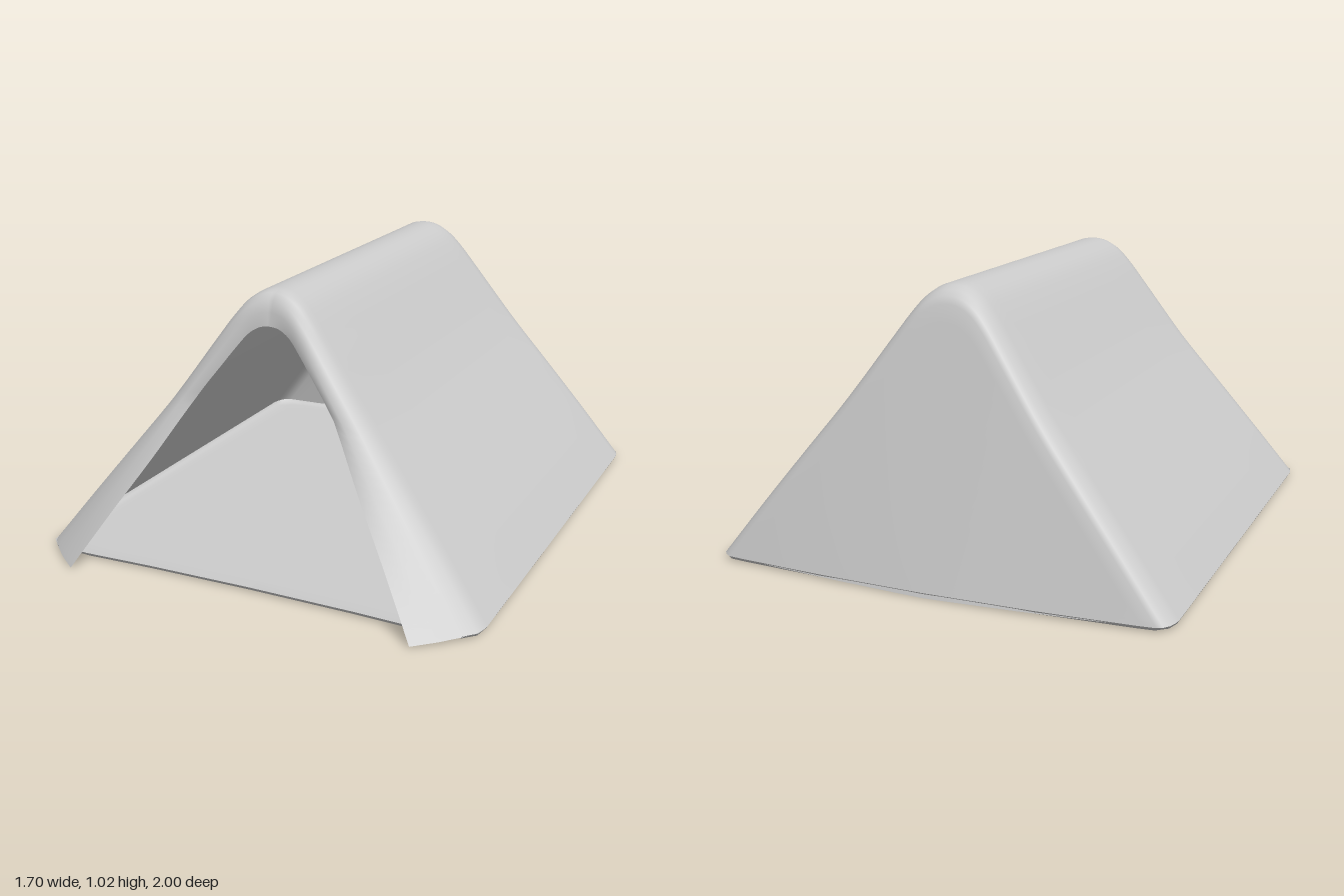
import * as THREE from 'three';

const material = new THREE.MeshStandardMaterial({ color: 0xcccccc, side: THREE.DoubleSide });
const lerp = THREE.MathUtils.lerp;

// Skin a list of rings (arrays of [x, y, z]) with smooth normals.
function loft(name, rings) {
  const n = rings[0].length;
  const index = [];
  for (let i = 0; i < rings.length - 1; i++) {
    for (let j = 0; j < n - 1; j++) {
      const a = i * n + j, b = a + 1, c = a + n, d = c + 1;
      index.push(a, c, b, b, c, d);
    }
  }
  const geometry = new THREE.BufferGeometry();
  geometry.setAttribute('position', new THREE.Float32BufferAttribute(rings.flat(2), 3));
  geometry.setIndex(index);
  geometry.computeVertexNormals();
  const mesh = new THREE.Mesh(geometry, material);
  mesh.name = name;
  return mesh;
}

// Mirror a half profile (apex first) and sample it smoothly from +x over the ridge to -x.
function arch(half, samples = 96) {
  const left = half.slice(1).reverse();
  const right = half.slice(1).map(([x, y]) => [-x, y]);
  const points = [...left, half[0], ...right].map(([x, y]) => new THREE.Vector2(x, y));
  return new THREE.SplineCurve(points).getPoints(samples);
}

export function createModel() {
  const group = new THREE.Group();
  group.name = 'tent';

  const outer = arch([[0, 1.02], [0.05, 1.011], [0.1, 0.98], [0.15, 0.925], [0.22, 0.83],
    [0.38, 0.61], [0.54, 0.41], [0.7, 0.21], [0.85, 0.018]]);
  const opening = arch([[0, 0.9], [0.04, 0.893], [0.08, 0.867], [0.12, 0.82], [0.17, 0.755],
    [0.27, 0.62], [0.4, 0.41], [0.53, 0.21], [0.66, 0.003]]);

  // Depth of the opening's rim and of the sloping back wall
  const rimZ = y => (y > 0.62 ? 0.68 + (0.9 - y) * 0.214 : 1 - 0.42 * y);
  const backZ = (x, y) => -1 + 0.219 * y + 0.053 * x * x * (1 - 0.5 * y);

  const rings = [];

  // Front hood: from the rim, round the bend and onto the body [inset, z at ridge, z at ground]
  rings.push(opening.map(p => [p.x, p.y, rimZ(p.y)]));
  for (const [t, top, bottom] of [[0.6, 0.674, 0.945], [0.27, 0.664, 0.89], [0.08, 0.642, 0.85],
    [0.02, 0.62, 0.82], [0, 0.59, 0.79]]) {
    rings.push(outer.map((p, j) => {
      const e = opening[j];
      const w = (Math.abs(p.x) / 0.85 + (rimZ(e.y) - 0.68) / 0.32) / 2;
      return [lerp(p.x, e.x, t), lerp(p.y, e.y, t), lerp(top, bottom, w)];
    }));
  }

  // Straight body
  for (const z of [0.4, 0, -0.4, -0.65]) rings.push(outer.map(p => [p.x, p.y, z]));

  // Rounded back edge and back wall [scale, distance ahead of the wall]
  for (const [k, ahead] of [[1, 0.08], [0.995, 0.05], [0.983, 0.025], [0.965, 0.008], [0.94, 0],
    [0.88, 0], [0.7, 0], [0.4, 0], [0.1, 0], [0, 0]]) {
    rings.push(outer.map(p => {
      const x = p.x * k, y = p.y * k;
      return [x, y, backZ(x, y) + ahead];
    }));
  }
  group.add(loft('canopy', rings));

  // Ground sheet with a slightly raised edge
  const half = [[0, 0.885], [0.4, 0.89], [0.66, 0.9], [0.8, 0.89], [0.84, 0.85], [0.85, 0.79],
    [0.85, -0.89], [0.837, -0.935], [0.8, -0.966], [0.74, -0.972], [0.4, -0.992], [0, -1]];
  const outline = [...half, ...half.slice(0, -1).reverse().map(([x, z]) => [-x, z])];
  group.add(loft('groundSheet', [[1, 0.018], [0.992, 0.006], [0.97, 0], [0.9, 0], [0, 0]].map(
    ([k, y]) => outline.map(([x, z]) => [x * k, y, z * k]))));

  return group;
}
